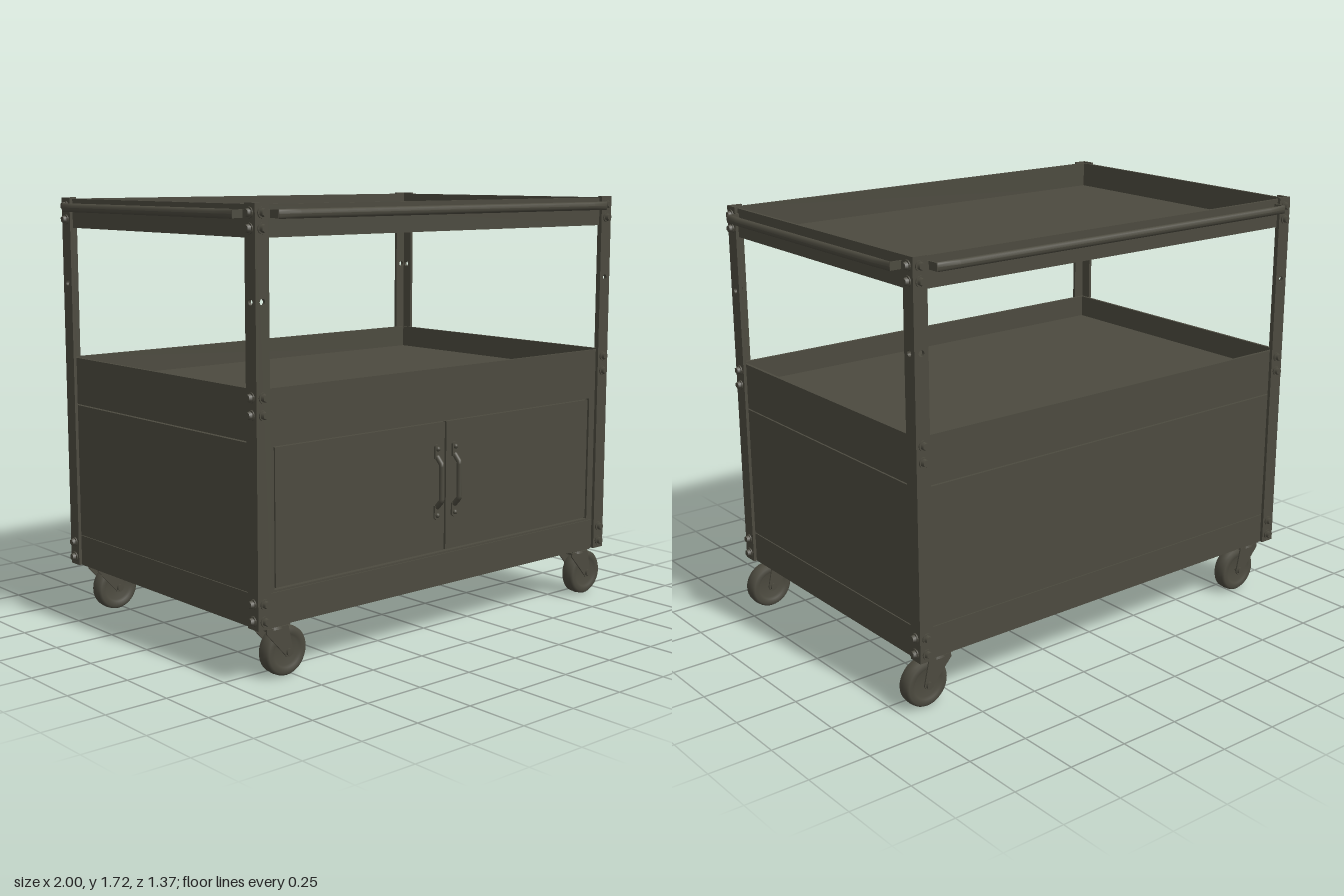
import * as THREE from 'three';

const steel = new THREE.MeshStandardMaterial({ color: 0x4c4a3f });
steel.name = 'dark olive steel';

const W = 0.932, D = 0.622; // half width and half depth of the trays
const PLATE = 0.013;

function add(parent, name, geometry, x = 0, y = 0, z = 0) {
  const mesh = new THREE.Mesh(geometry, steel);
  mesh.name = name;
  mesh.position.set(x, y, z);
  parent.add(mesh);
  return mesh;
}

const box = (w, h, d) => new THREE.BoxGeometry(w, h, d);

function rect(shape, x0, y0, x1, y1) {
  shape.moveTo(x0, y0);
  shape.lineTo(x1, y0);
  shape.lineTo(x1, y1);
  shape.lineTo(x0, y1);
  shape.closePath();
  return shape;
}

// Rectangular frame in the xy plane, extruded along z
function frame(outer, inner, depth) {
  const shape = rect(new THREE.Shape(), ...outer);
  shape.holes.push(rect(new THREE.Path(), ...inner));
  return new THREE.ExtrudeGeometry(shape, { depth, bevelEnabled: false });
}

// Open tray with four thin walls and a floor
function tray(name, y0, y1) {
  const g = new THREE.Group();
  g.name = name;
  const t = 0.012;
  const walls = frame([-W, -D, W, D], [-W + t, -D + t, W - t, D - t], y1 - y0);
  walls.rotateX(-Math.PI / 2);
  add(g, 'trayWalls', walls, 0, y0, 0);
  add(g, 'trayFloor', box(2 * (W - t), t, 2 * (D - t)), 0, y0 + t / 2, 0);
  return g;
}

// Hexagonal bolt head on a washer, pointing along +z
function bolt() {
  const g = new THREE.Group();
  g.name = 'bolt';
  add(g, 'washer', new THREE.CylinderGeometry(0.02, 0.02, 0.005, 16).rotateX(Math.PI / 2), 0, 0, 0.0025);
  add(g, 'boltHead', new THREE.CylinderGeometry(0.013, 0.016, 0.013, 6).rotateX(Math.PI / 2), 0, 0, 0.011);
  return g;
}

// Corner post: two drilled plates forming an angle, with bolts
function post(sx, sz) {
  const g = new THREE.Group();
  g.name = 'cornerPost';
  const w = 0.06, y0 = 0.21, y1 = 1.72;
  const shape = rect(new THREE.Shape(), -w / 2, y0, w / 2, y1);
  shape.holes.push(new THREE.Path().absarc(0, 1.38, 0.012, 0, Math.PI * 2, true));
  const plate = new THREE.ExtrudeGeometry(shape, { depth: PLATE, bevelEnabled: false, curveSegments: 12 });
  plate.translate(0, 0, -PLATE / 2);
  const px = sx * (W + PLATE - w / 2), pz = sz * (D + PLATE - w / 2);
  add(g, 'postFace', plate, px, 0, sz * (D + PLATE / 2));
  add(g, 'postSide', plate.clone().rotateY(Math.PI / 2), sx * (W + PLATE / 2), 0, pz);
  for (const y of [1.687, 1.633, 1.047, 0.985, 0.305, 0.242]) {
    const face = bolt();
    face.position.set(px, y, sz * (D + PLATE));
    face.rotation.y = sz > 0 ? 0 : Math.PI;
    g.add(face);
    if (sz < 0 && y > 0.9 && y < 1.1) continue;
    const side = bolt();
    side.position.set(sx * (W + PLATE), y, pz);
    side.rotation.y = sx * Math.PI / 2;
    g.add(side);
  }
  return g;
}

// Rail flattened towards both ends, held by two thin brackets; faces +z
function rail(name, half, reach) {
  const g = new THREE.Group();
  g.name = name;
  const profile = [[0, -half], [0.017, -half], [0.017, -half + 0.09], [0.017, half - 0.09], [0.017, half], [0, half]];
  const geo = new THREE.LatheGeometry(profile.map(([r, y]) => new THREE.Vector2(r, y)), 16);
  const p = geo.attributes.position;
  for (let i = 0; i < p.count; i++) {
    const end = Math.abs(p.getY(i)) > half - 0.01;
    p.setZ(i, p.getZ(i) * (end ? 0.25 : 0.82));
  }
  geo.rotateZ(Math.PI / 2);
  geo.computeVertexNormals();
  add(g, 'railBar', geo, 0, 1.682, reach);
  for (const s of [-1, 1]) {
    add(g, 'railBracket', box(0.006, 0.03, 0.052), s * half, 1.682, reach - 0.024);
    add(g, 'railFoot', box(0.03, 0.03, 0.006), s * (half + 0.015), 1.682, reach - 0.047);
  }
  return g;
}

// Cabinet with panels, front frame, two doors and pull handles
function cabinet() {
  const g = new THREE.Group();
  g.name = 'cabinet';
  add(g, 'cabinetBody', box(1.82, 0.74, 1.196), 0, 0.6, 0);
  for (const [y0, y1] of [[0.3, 0.879], [0.884, 0.972]]) {
    const h = y1 - y0, y = (y0 + y1) / 2;
    for (const s of [-1, 1]) add(g, 'sidePanel', box(0.02, h, 1.21), s * 0.917, y, 0);
    add(g, 'backPanel', box(1.83, h, 0.02), 0, y, -0.607);
  }
  add(g, 'frontFrame', frame([-0.925, 0.3, 0.925, 0.972], [-0.856, 0.343, 0.856, 0.867], 0.02), 0, 0, 0.597);
  for (const s of [-1, 1]) {
    add(g, 'door', box(0.844, 0.512, 0.016), s * 0.4265, 0.605, 0.606);
    g.add(handle(s * 0.048));
  }
  return g;
}

function handle(x) {
  const g = new THREE.Group();
  g.name = 'doorHandle';
  const z = 0.614;
  for (const s of [-1, 1]) {
    const y = 0.627 + s * 0.118;
    add(g, 'handleFoot', box(0.03, 0.05, 0.008), x, y, z + 0.004);
    const end = new THREE.CylinderGeometry(0.015, 0.015, 0.008, 16).rotateX(Math.PI / 2);
    add(g, 'handleEnd', end, x, y + s * 0.018, z + 0.004);
    add(g, 'handleScrew', new THREE.SphereGeometry(0.01, 12, 8), x, y + s * 0.014, z + 0.008);
  }
  const grip = new THREE.CurvePath();
  const pts = [[-0.1, 0.004], [-0.072, 0.03], [0.072, 0.03], [0.1, 0.004]]
    .map(([y, dz]) => new THREE.Vector3(x, 0.627 + y, z + dz));
  for (let i = 0; i < 3; i++) grip.add(new THREE.LineCurve3(pts[i], pts[i + 1]));
  add(g, 'handleGrip', new THREE.TubeGeometry(grip, 24, 0.011, 10));
  return g;
}

// Swivel caster: mounting plate, fork and wheel trailing towards +x
function caster() {
  const g = new THREE.Group();
  g.name = 'caster';
  add(g, 'casterPlate', box(0.11, 0.008, 0.09), 0, 0.206, 0);
  add(g, 'casterSwivel', new THREE.CylinderGeometry(0.04, 0.045, 0.014, 20), 0, 0.197, 0);
  add(g, 'forkBridge', box(0.1, 0.008, 0.078), 0, 0.193, 0);
  const arm = new THREE.Shape();
  arm.moveTo(-0.05, 0.197);
  arm.lineTo(-0.05, 0.18);
  arm.lineTo(0.038, 0.083);
  arm.absarc(0.052, 0.095, 0.02, -2.4, 0.2, false);
  arm.lineTo(0.05, 0.197);
  for (const s of [-1, 1]) {
    const geo = new THREE.ExtrudeGeometry(arm, { depth: 0.006, bevelEnabled: false });
    add(g, 'forkArm', geo, 0, 0, s * 0.036 - 0.003);
    add(g, 'axleNut', new THREE.CylinderGeometry(0.015, 0.015, 0.01, 6).rotateX(Math.PI / 2), 0.052, 0.095, s * 0.043);
  }
  const profile = [[0, -0.02], [0.055, -0.02], [0.062, -0.03], [0.084, -0.03], [0.093, -0.021], [0.095, 0],
    [0.093, 0.021], [0.084, 0.03], [0.062, 0.03], [0.055, 0.02], [0, 0.02]];
  const wheel = new THREE.LatheGeometry(profile.map(([r, y]) => new THREE.Vector2(r, y)), 36);
  add(g, 'wheel', wheel.rotateX(Math.PI / 2), 0.052, 0.095, 0);
  add(g, 'axle', new THREE.CylinderGeometry(0.01, 0.01, 0.08, 12).rotateX(Math.PI / 2), 0.052, 0.095, 0);
  return g;
}

export function createModel() {
  const cart = new THREE.Group();
  cart.name = 'utilityCart';
  cart.add(tray('topTray', 1.6, 1.715), tray('middleTray', 0.97, 1.075), tray('bottomTray', 0.21, 0.335));
  cart.add(cabinet());
  for (const sx of [-1, 1]) {
    for (const sz of [-1, 1]) {
      cart.add(post(sx, sz));
      const wheel = caster();
      wheel.position.set(sx * 0.834, 0, sz * 0.566);
      cart.add(wheel);
    }
  }
  // Rails on all four sides of the top tray
  for (let i = 0; i < 4; i++) {
    const side = i % 2 === 1;
    const r = rail(side ? 'sideRail' : 'endRail', side ? 0.56 : 0.87, side ? 0.986 : 0.672);
    r.rotation.y = i * Math.PI / 2;
    cart.add(r);
  }
  return cart;
}
